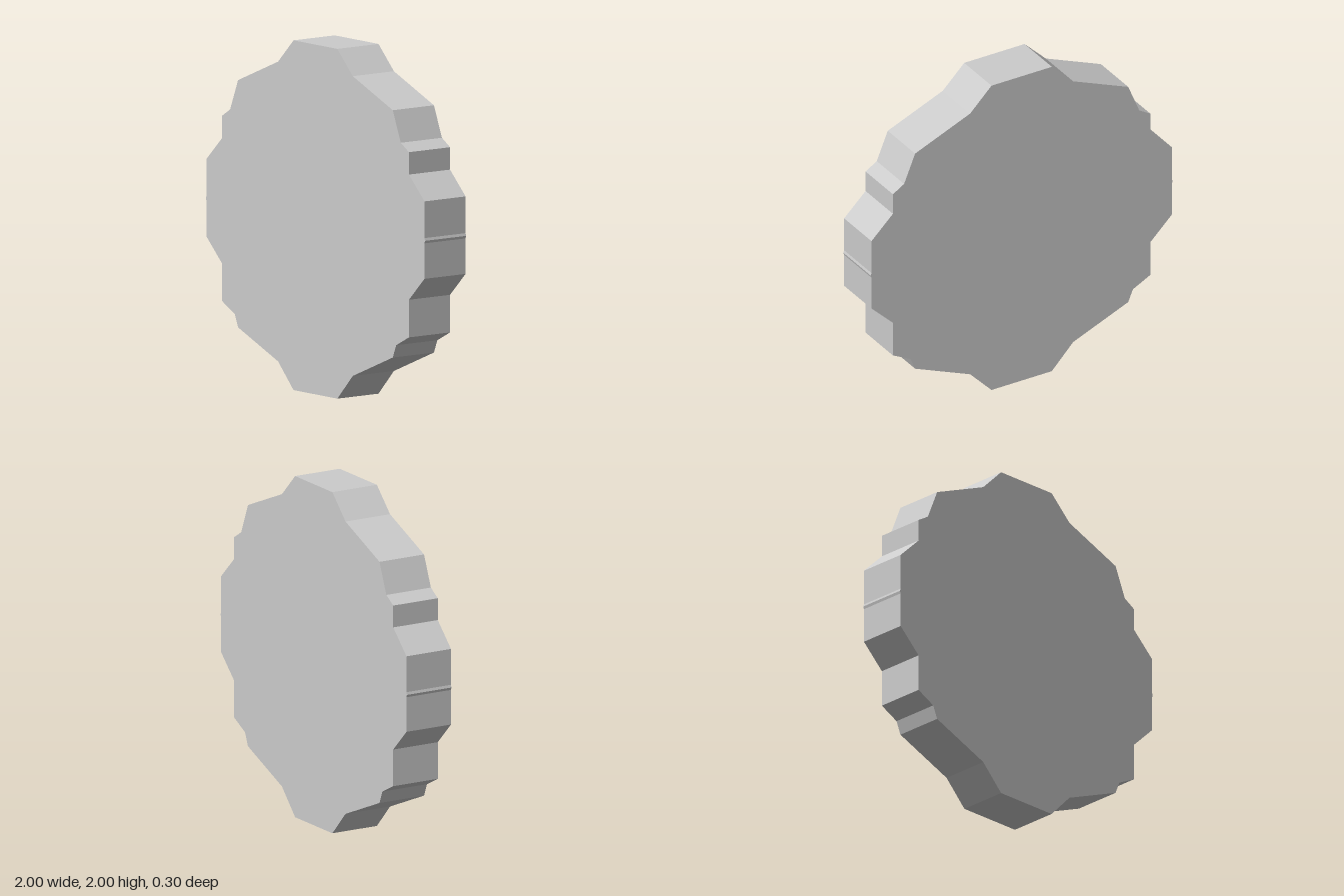
import * as THREE from 'three';

export function createModel() {
  const group = new THREE.Group();
  const depth = 0.296;

  // Left half of the scalloped rim, from top centre to bottom centre
  const half = [
    [0, 2], [0.2, 2], [0.341, 1.861], [0.706, 1.711], [0.779, 1.534],
    [0.853, 1.489], [0.853, 1.361], [0.995, 1.225], [0.995, 1.015],
    [1, 1], [0.995, 0.985], [0.995, 0.782], [0.853, 0.645], [0.853, 0.43],
    [0.737, 0.371], [0.706, 0.297], [0.341, 0.147], [0.2, 0], [0, 0],
  ];

  // Mirror the half to close the outline
  const mirrored = half.slice(1, -1).reverse().map(([x, y]) => [-x, y]);
  const outline = [...half, ...mirrored].map(([x, y]) => new THREE.Vector2(x, y));

  // Flat disc with straight sides
  const geometry = new THREE.ExtrudeGeometry(new THREE.Shape(outline), {
    depth, bevelEnabled: false, steps: 1,
  });
  geometry.translate(0, 0, -depth / 2);

  const disc = new THREE.Mesh(
    geometry,
    new THREE.MeshStandardMaterial({ color: 0xcccccc, flatShading: true }),
  );
  disc.name = 'scallopedDisc';
  group.add(disc);
  return group;
}
